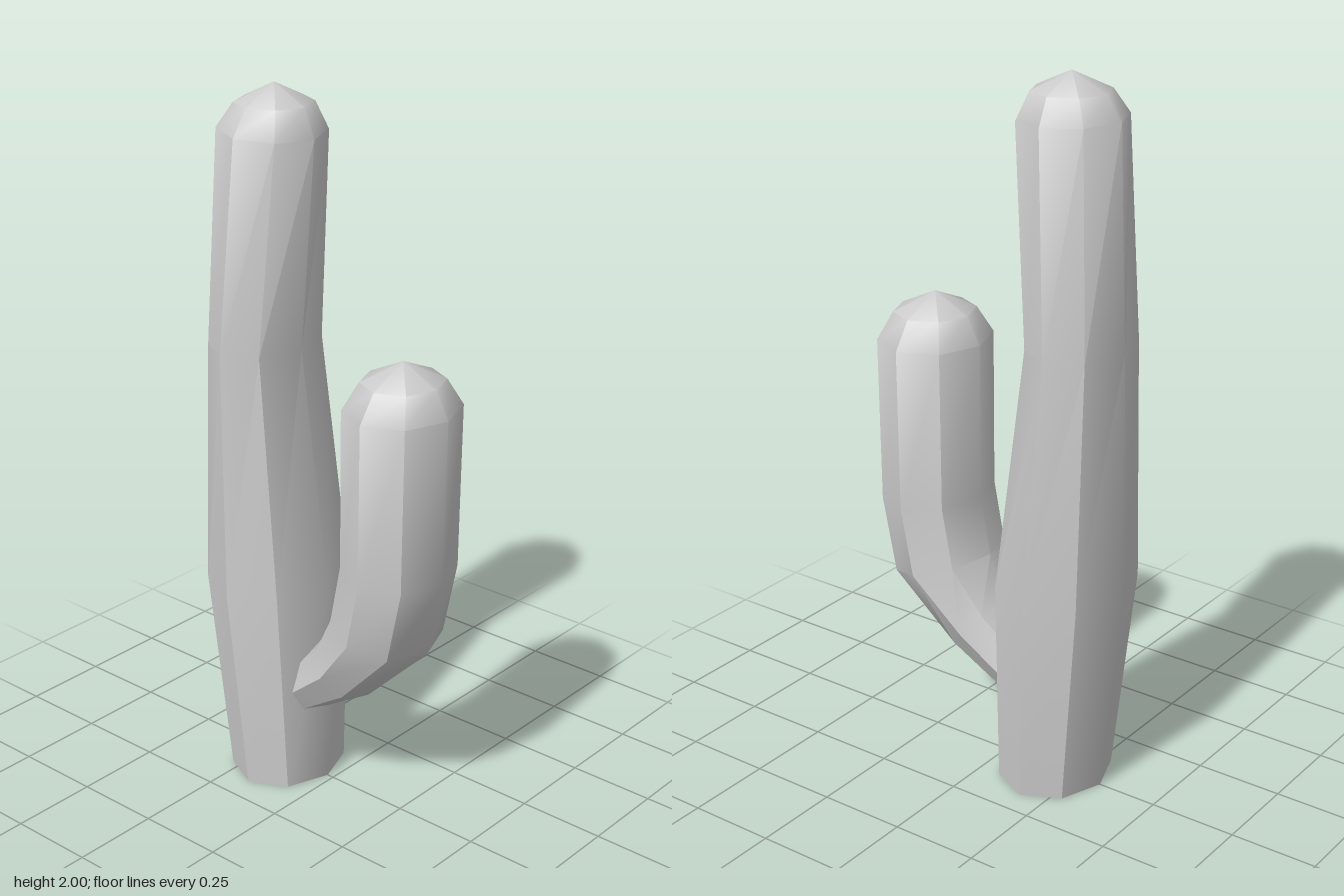
import * as THREE from 'three';
import { toCreasedNormals } from 'three/addons/utils/BufferGeometryUtils.js';

const SIDES = 8;

// Skins octagonal rings [x, y, z, rx, rz, tilt] bottom to top and closes them at the apex.
function loft(name, rings, apex, material) {
  const positions = [];
  const index = [];
  for (const [x, y, z, rx, rz, tilt = 0] of rings) {
    for (let j = 0; j < SIDES; j++) {
      const a = (j / SIDES) * Math.PI * 2;
      const u = rx * Math.cos(a);
      positions.push(x + u * Math.cos(tilt), y + u * Math.sin(tilt), z + rz * Math.sin(a));
    }
  }
  positions.push(...apex);
  const tip = rings.length * SIDES;
  for (let i = 0; i < rings.length; i++) {
    for (let j = 0; j < SIDES; j++) {
      const p = i * SIDES + j;
      const q = i * SIDES + ((j + 1) % SIDES);
      if (i === rings.length - 1) index.push(p, tip, q);
      else index.push(p, p + SIDES, q, q, p + SIDES, q + SIDES);
    }
  }
  const geometry = new THREE.BufferGeometry();
  geometry.setAttribute('position', new THREE.Float32BufferAttribute(positions, 3));
  geometry.setIndex(index);
  // Sharp ribs along the stem, smooth rounded tip
  const mesh = new THREE.Mesh(toCreasedNormals(geometry, THREE.MathUtils.degToRad(41)), material);
  mesh.name = name;
  return mesh;
}

export function createModel() {
  const group = new THREE.Group();
  group.name = 'cactus';
  const material = new THREE.MeshStandardMaterial({ color: 0xcccccc, side: THREE.DoubleSide });

  // Main stem: open at the ground, bulging low down, with a domed top
  group.add(loft('trunk', [
    [-0.172, 0, 0, 0.152, 0.174],
    [-0.204, 0.6, 0, 0.186, 0.213],
    [-0.24, 1.29, 0.003, 0.132, 0.178],
    [-0.2, 1.88, 0.008, 0.145, 0.149, -0.05],
    [-0.197, 1.95, 0.004, 0.105, 0.108],
  ], [-0.2, 2, 0], material));

  // Side arm: leaves the trunk at a slant and bends upright
  group.add(loft('arm', [
    [-0.1, 0.27, 0, 0.075, 0.1, -0.86],
    [0.065, 0.405, 0, 0.105, 0.13, -0.9],
    [0.195, 0.565, 0, 0.146, 0.171, -0.28],
    [0.234, 0.757, 0, 0.148, 0.171, -0.08],
    [0.238, 1.215, 0, 0.15, 0.172],
    [0.239, 1.29, 0, 0.11, 0.12],
  ], [0.238, 1.343, 0], material));

  return group;
}
